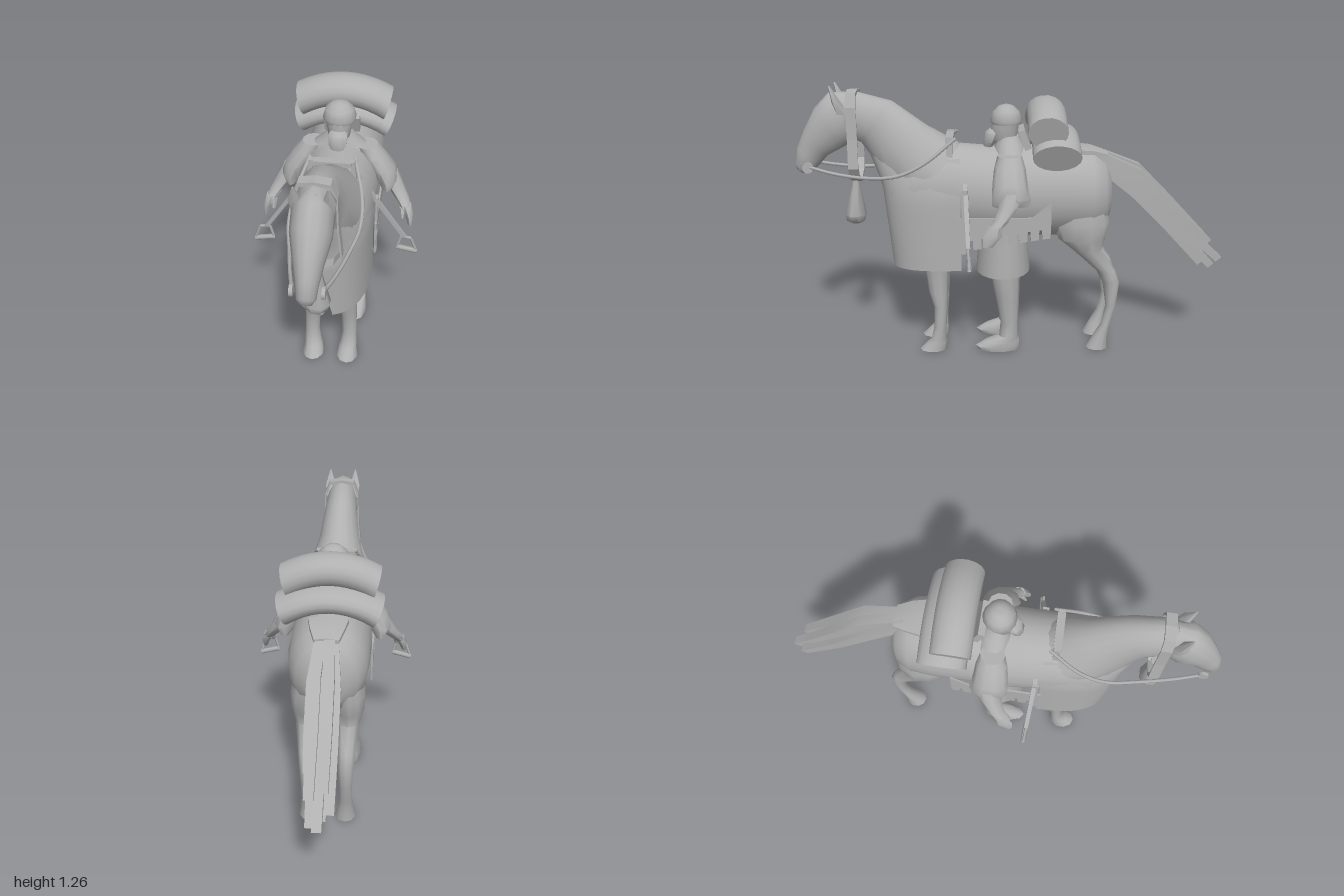
import * as THREE from 'three';
import { toCreasedNormals } from 'three/addons/utils/BufferGeometryUtils.js';

const grey = new THREE.MeshStandardMaterial({ color: 0xb0b0b0, side: THREE.DoubleSide });
grey.name = 'grey';

// Closed skin over elliptical rings [x, y, z, radiusX, radiusV, tilt]:
// tilt 0 stands upright across z, tilt 90 lies flat across y.
function loft(rings, sides = 14, s = 1) {
  const pos = [], idx = [];
  for (const [x, y, z, rx, rv, tilt = 90] of rings) {
    const t = THREE.MathUtils.degToRad(tilt);
    for (let i = 0; i < sides; i++) {
      const a = ((i + 0.5) / sides) * Math.PI * 2, v = rv * Math.sin(a);
      pos.push(s * (x + rx * Math.cos(a)), y + v * Math.cos(t), z + v * Math.sin(t));
    }
  }
  const n = rings.length, c0 = n * sides, first = rings[0], last = rings[n - 1];
  pos.push(s * first[0], first[1], first[2], s * last[0], last[1], last[2]);
  for (let i = 0; i < sides; i++) {
    const j = (i + 1) % sides, e = (n - 1) * sides;
    for (let r = 0; r < n - 1; r++) {
      const a = r * sides + i, b = r * sides + j;
      idx.push(a, b, b + sides, a, b + sides, a + sides);
    }
    idx.push(c0, j, i, c0 + 1, e + i, e + j);
  }
  // Signed volume tells which way the faces point
  const p = k => new THREE.Vector3().fromArray(pos, idx[k] * 3);
  let vol = 0;
  for (let k = 0; k < idx.length; k += 3) vol += p(k).dot(p(k + 1).cross(p(k + 2)));
  if (vol < 0) idx.reverse();
  const g = new THREE.BufferGeometry();
  g.setAttribute('position', new THREE.Float32BufferAttribute(pos, 3));
  g.setIndex(idx);
  return toCreasedNormals(g, 0.9);
}

// Cloth sheet whose vertices follow a rule of (u, v); s = -1 keeps the mirrored side facing out
function sheet(rule, nu, nv, s) {
  const g = new THREE.PlaneGeometry(1, 1, nu, nv), p = g.attributes.position;
  for (let i = 0; i < p.count; i++) p.setXYZ(i, ...rule(p.getX(i) + 0.5, 0.5 - p.getY(i)));
  if (s < 0) g.index.array.reverse();
  g.computeVertexNormals();
  return g;
}

const V = (x, y, z) => new THREE.Vector3(x, y, z);
const mix = (v, stops) => {
  const i = Math.max(1, stops.findIndex(q => v <= q[0]));
  const [a, b] = [stops[i - 1], stops[i]];
  return THREE.MathUtils.mapLinear(v, a[0], b[0], a[1], b[1]);
};

// Rolled blanket along x, drooping at both ends, which lean by the given amount
function roll(half, ry, rz, y0, z0, droop, lean) {
  const g = new THREE.CylinderGeometry(1, 1, half * 2, 18, 10).rotateZ(Math.PI / 2).scale(1, ry, rz);
  const p = g.attributes.position;
  for (let i = 0; i < p.count; i++) {
    const x = p.getX(i), y = p.getY(i);
    p.setXYZ(i, x + lean * x * y, y0 + y - droop * x * x, z0 + p.getZ(i));
  }
  return toCreasedNormals(g, 0.8);
}

export function createModel() {
  const model = new THREE.Group();
  const add = (name, geo) => {
    const m = new THREE.Mesh(geo, grey);
    m.name = name;
    model.add(m);
  };

  // Horse body, neck and head
  add('horseBody', loft([
    [0, 0.8, 0.58, 0.06, 0.07, 0], [0, 0.8, 0.55, 0.11, 0.14, 0], [0, 0.79, 0.45, 0.152, 0.19, 0],
    [0, 0.785, 0.3, 0.17, 0.212, 0], [0, 0.768, 0.1, 0.18, 0.212, 0], [0, 0.77, -0.1, 0.18, 0.214, 0],
    [0, 0.77, -0.25, 0.18, 0.215, 0], [0, 0.76, -0.36, 0.168, 0.2, 0], [0, 0.755, -0.42, 0.135, 0.165, 0],
    [0, 0.755, -0.45, 0.085, 0.1, 0], [0, 0.755, -0.458, 0.03, 0.04, 0]], 24));
  add('horseNeck', loft([
    [0, 0.87, 0.37, 0.15, 0.17, -62], [0, 0.9, 0.42, 0.14, 0.197, -60], [0, 1.003, 0.52, 0.1, 0.146, -58],
    [0, 1.095, 0.62, 0.082, 0.12, -38], [0, 1.13, 0.73, 0.074, 0.105, -16], [0, 1.14, 0.78, 0.06, 0.09, 10]], 18));
  add('horseHead', loft([
    [0, 1.16, 0.735, 0.05, 0.075, 15], [0, 1.128, 0.775, 0.08, 0.112, 29], [0, 1.072, 0.83, 0.079, 0.109, 37],
    [0, 1.0, 0.9, 0.058, 0.078, 40], [0, 0.933, 0.943, 0.043, 0.064, 42], [0, 0.888, 0.97, 0.037, 0.042, 50],
    [0, 0.87, 0.978, 0.022, 0.022, 55]], 14));

  // Head strap and hanging tassel
  const strapShape = k => new THREE.Shape([[0, 1.238], [0.06, 1.23], [0.084, 1.17], [0.088, 1.03], [0.1, 0.9],
    [0.07, 0.85], [0, 0.82], [-0.07, 0.85], [-0.1, 0.9], [-0.088, 1.03], [-0.084, 1.17], [-0.06, 1.23]]
    .map(([x, y]) => new THREE.Vector2(x * k, 1.03 + (y - 1.03) * k)));
  const strap = strapShape(1.02);
  strap.holes.push(strapShape(0.94));
  add('headStrap', new THREE.ExtrudeGeometry(strap, { depth: 0.045, bevelEnabled: false }).translate(0, 0, 0.698));
  add('neckTassel', loft([[0, 0.84, 0.73, 0.02, 0.018], [0, 0.8, 0.73, 0.022, 0.02], [0, 0.66, 0.738, 0.058, 0.05],
    [0, 0.63, 0.738, 0.045, 0.045], [0, 0.615, 0.738, 0.02, 0.02]], 8));

  // Tail of flat strands: [x, offset across the tail, end z, end y]
  [[-0.02, 0.055, -0.9, 0.54], [0.035, 0.04, -0.92, 0.52], [0, 0, -0.985, 0.42], [-0.045, -0.02, -0.93, 0.46],
    [0.03, -0.035, -0.94, 0.4], [-0.01, -0.06, -0.9, 0.4], [0.045, 0.01, -0.82, 0.57]].forEach(([x, d, ze, ye]) =>
    add('tailStrand', loft([
      [x * 0.6, 0.925 + d * 0.4, -0.38, 0.03, 0.03, -25], [x, 0.815 + d, -0.57, 0.034, 0.036, -45],
      [x, 0.655 + d, -0.73, 0.034, 0.034, -48], [x, ye, ze, 0.028, 0.024, -50]], 4)));
  add('tailFlap', loft([[0, 0.965, -0.29, 0.1, 0.02, 0], [0, 0.96, -0.36, 0.085, 0.018, 0], [0, 0.94, -0.43, 0.06, 0.015, 0]], 6));

  // Bedrolls and saddle front
  add('upperBedroll', roll(0.198, 0.072, 0.088, 1.135, -0.147, 1.5, 1.4));
  add('lowerBedroll', roll(0.206, 0.062, 0.108, 1.025, -0.188, 1.4, 2.2));
  add('saddlePommel', new THREE.BoxGeometry(0.17, 0.022, 0.035).translate(0, 1.025, 0.29));

  for (const s of [1, -1]) {
    const part = (name, rings, sides) => add(name, loft(rings, sides, s));
    part('horseEar', [[0.055, 1.14, 0.765, 0.028, 0.03], [0.063, 1.195, 0.785, 0.028, 0.02], [0.063, 1.265, 0.812, 0.003, 0.004]], 6);
    part('pommelPost', [[0.1, 0.9, 0.29, 0.015, 0.02], [0.088, 1.04, 0.29, 0.012, 0.02]], 4);

    // Horse legs
    part('frontLeg', [[0.085, 0.66, 0.37, 0.065, 0.09], [0.078, 0.45, 0.362, 0.05, 0.062], [0.078, 0.36, 0.359, 0.042, 0.05],
      [0.08, 0.3, 0.357, 0.043, 0.046], [0.085, 0.22, 0.347, 0.036, 0.032], [0.088, 0.12, 0.352, 0.034, 0.029],
      [0.085, 0.055, 0.36, 0.04, 0.036], [0.082, 0.04, 0.366, 0.042, 0.045], [0.082, 0, 0.388, 0.05, 0.063]], 10);
    part('hindLeg', [[0.09, 0.76, -0.31, 0.055, 0.1], [0.092, 0.64, -0.31, 0.075, 0.132], [0.093, 0.56, -0.315, 0.07, 0.108],
      [0.091, 0.5, -0.343, 0.054, 0.064], [0.088, 0.4, -0.432, 0.04, 0.045], [0.086, 0.34, -0.46, 0.037, 0.04],
      [0.086, 0.22, -0.463, 0.03, 0.025], [0.087, 0.12, -0.44, 0.03, 0.022], [0.085, 0.055, -0.416, 0.038, 0.036],
      [0.083, 0, -0.402, 0.048, 0.052]], 10);

    // Chest cloth, one half, slit at the front and fitted to the neck above
    add('chestCloth', sheet((u, v) => {
      const a = u * Math.PI / 2, w = mix(v, [[0, 0.115], [0.15, 0.15], [0.32, 0.174], [1, 0.178]]);
      const x = Math.max(w * Math.sin(a) ** 0.85, 0.038 * Math.max(0, (v - 0.62) / 0.38));
      const zf = mix(v, [[0, 0.655], [0.25, 0.605], [1, 0.567]]);
      return [s * x, 0.945 - (0.525 - 0.015 * u) * v, 0.242 + (zf - 0.242) * Math.max(0, Math.cos(a)) ** 0.75];
    }, 12, 10, s));

    // Saddle blanket with a fringed lower edge
    const edge = [[0.25, 0.69], [0.245, 0.52], [0.21, 0.52]];
    for (let i = 0; i < 7; i++) {
      const z = 0.2 - i * 0.052, y = 0.54 + i * 0.008;
      edge.push([z, y + 0.045], [z - 0.012, y + 0.045], [z - 0.014, y], [z - 0.05, y + 0.005]);
    }
    edge.push([-0.165, 0.64], [-0.165, 0.76], [-0.08, 0.69]);
    const cloth = new THREE.Shape(edge.map(([z, y]) => new THREE.Vector2(z, y)));
    add('saddleBlanket', new THREE.ExtrudeGeometry(cloth, { depth: 0.008, bevelEnabled: false })
      .rotateY(-Math.PI / 2).translate(s * 0.186 + 0.004, 0, 0));
    add('girthStrap', new THREE.BoxGeometry(0.01, 0.3, 0.03).translate(s * 0.188, 0.67, 0.222));

    // Rein and bit
    const reinPath = new THREE.CatmullRomCurve3([V(s * 0.058, 0.9, 0.93), V(s * 0.085, 0.875, 0.82), V(s * 0.118, 0.86, 0.66),
      V(s * 0.145, 0.875, 0.52), V(s * 0.14, 0.93, 0.4), V(s * 0.095, 1.035, 0.26)]);
    add('rein', new THREE.TubeGeometry(reinPath, 24, 0.008, 6));
    add('bitDisc', new THREE.CylinderGeometry(0.025, 0.025, 0.014, 12).rotateZ(Math.PI / 2).translate(s * 0.06, 0.895, 0.932));

    // Stirrup
    part('stirrupLeather', [[0.137, 0.87, 0.22, 0.014, 0.015], [0.315, 0.595, 0.205, 0.014, 0.013]], 4);
    const corners = [V(0.3, 0.595, 0.205), V(0.345, 0.59, 0.205), V(0.372, 0.515, 0.2), V(0.285, 0.535, 0.205)];
    corners.forEach((a, i) => {
      const b = corners[(i + 1) % 4];
      const p = new THREE.LineCurve3(V(s * a.x, a.y, a.z), V(s * b.x, b.y, b.z));
      add('stirrupBar', new THREE.TubeGeometry(p, 1, i === 2 ? 0.012 : 0.007, 6));
    });

    // Rider's arms and legs
    part('riderSleeve', [[0.12, 0.96, 0.02, 0.05, 0.055], [0.15, 0.91, 0.02, 0.06, 0.07], [0.19, 0.85, 0.02, 0.062, 0.078],
      [0.218, 0.79, 0.015, 0.052, 0.085], [0.22, 0.755, 0.015, 0.03, 0.085]], 10);
    part('riderForearm', [[0.215, 0.82, 0.015, 0.05, 0.05], [0.255, 0.76, 0.03, 0.04, 0.045], [0.29, 0.71, 0.06, 0.032, 0.034],
      [0.31, 0.68, 0.085, 0.026, 0.032]], 8);
    part('riderHand', [[0.31, 0.69, 0.085, 0.027, 0.03], [0.328, 0.65, 0.1, 0.02, 0.04], [0.335, 0.605, 0.12, 0.01, 0.022]], 6);
    part('riderThumb', [[0.295, 0.68, 0.1, 0.014, 0.014], [0.297, 0.635, 0.12, 0.007, 0.008]], 5);
    part('riderLeg', [[0.08, 0.5, 0.04, 0.065, 0.075], [0.085, 0.36, 0.038, 0.06, 0.066], [0.088, 0.26, 0.03, 0.054, 0.055],
      [0.09, 0.14, 0.022, 0.04, 0.042], [0.092, 0.07, 0.025, 0.04, 0.046], [0.094, 0.045, 0.06, 0.043, 0.085],
      [0.096, 0.02, 0.08, 0.046, 0.105], [0.096, 0, 0.075, 0.042, 0.095]], 10);
  }

  // Rider's skirt, shoulders and head
  add('riderSkirt', loft([[0, 0.7, 0.05, 0.14, 0.1], [0, 0.55, 0.05, 0.152, 0.115], [0, 0.382, 0.05, 0.16, 0.128]], 18));
  add('riderMantle', loft([[0, 1.03, 0.025, 0.05, 0.05], [0, 0.99, 0.02, 0.08, 0.065], [0, 0.945, 0.015, 0.135, 0.08],
    [0, 0.87, 0.015, 0.205, 0.092], [0, 0.83, 0.015, 0.19, 0.088]], 16));
  add('riderFace', loft([[0, 0.98, 0.03, 0.035, 0.045], [0, 1.02, 0.045, 0.05, 0.06], [0, 1.07, 0.04, 0.056, 0.065],
    [0, 1.12, 0.035, 0.06, 0.066]], 12));
  add('riderBeard', loft([[0, 0.965, 0.12, 0.02, 0.015], [0, 1.0, 0.11, 0.04, 0.03], [0, 1.045, 0.095, 0.045, 0.035],
    [0, 1.06, 0.085, 0.03, 0.025]], 8));
  add('riderHelmet', loft([[0, 1.085, 0.033, 0.07, 0.068], [0, 1.1, 0.033, 0.074, 0.074], [0, 1.14, 0.033, 0.063, 0.06],
    [0, 1.165, 0.033, 0.035, 0.033], [0, 1.172, 0.033, 0.008, 0.008]], 14));
  // Pack sling behind the rider's shoulder
  add('packSling', new THREE.BoxGeometry(0.16, 0.09, 0.03).rotateX(0.35).translate(0, 1.02, -0.05));
  return model;
}
